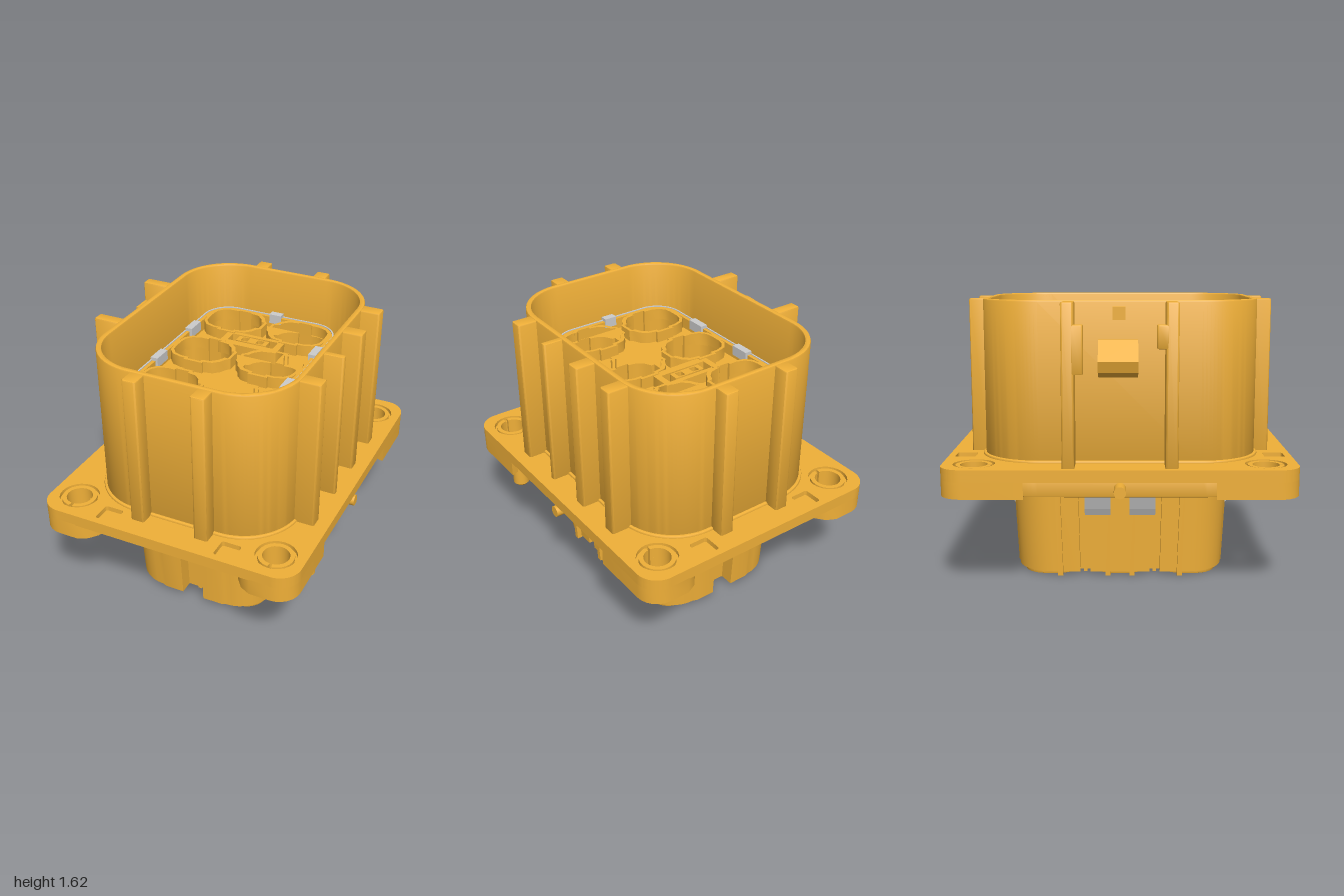
import * as THREE from 'three';
import { toCreasedNormals } from 'three/addons/utils/BufferGeometryUtils.js';

const orange = new THREE.MeshStandardMaterial({ color: 0xefaf38 });
const grey = new THREE.MeshStandardMaterial({ color: 0xcccccc, side: THREE.DoubleSide });

// Plan shapes are drawn in (x, z)
function roundRect(hx, hz, r, cx = 0, cz = 0, T = THREE.Shape) {
  const s = new T();
  const corners = [[1, 1, 0], [-1, 1, 1], [-1, -1, 2], [1, -1, 3]];
  s.moveTo(cx + hx, cz + hz - r);
  for (const [sx, sz, q] of corners)
    s.absarc(cx + sx * (hx - r), cz + sz * (hz - r), r, q * Math.PI / 2, (q + 1) * Math.PI / 2, false);
  s.closePath();
  return s;
}
const circle = (x, z, r) => new THREE.Path().absarc(x, z, r, 0, Math.PI * 2, false);
const polygon = (pts, T = THREE.Shape) => new T(pts.map(([x, z]) => new THREE.Vector2(x, z)));

// Extrudes a plan shape from height y0 to y1
function slab(shape, y0, y1, holes = [], bevel = 0) {
  shape.holes.push(...holes);
  const g = new THREE.ExtrudeGeometry(shape, {
    depth: y1 - y0 - 2 * bevel, curveSegments: 12, bevelEnabled: bevel > 0,
    bevelThickness: bevel, bevelSize: bevel, bevelOffset: -bevel, bevelSegments: 2,
  });
  g.rotateX(Math.PI / 2).translate(0, y1 - bevel, 0);
  return toCreasedNormals(g, 0.6);
}

// Outline of one keyed cavity, grown outward by w
function cavity(a, z, w, T) {
  const pts = [];
  for (const b of [1, -1]) {
    const half = [[0.035 - w, 0.045], [0.055 - w, 0.045 + w], [0.075 - w, 0.085 + w], [0.11 - w, 0.118 + w],
      [0.165 - w, 0.128 + w], [0.165 - w, 0.145 + w], [0.25 + w, 0.145 + w], [0.25 + w, 0.128 + w],
      [0.3, 0.128 + w], [0.35 + w / 2, 0.11 + w], [0.378 + w, 0.075 + w / 2], [0.385 + w, 0.035]];
    if (b < 0) half.reverse();
    pts.push(...half.map(([x, dz]) => [a * x, z + b * dz]));
  }
  return polygon(pts, T);
}

export function createModel() {
  const model = new THREE.Group();
  const add = (name, geo, mat = orange) => {
    const m = new THREE.Mesh(geo, mat);
    m.name = name;
    model.add(m);
    return m;
  };
  const box = (name, x0, x1, y0, y1, z0, z1, mat) =>
    add(name, new THREE.BoxGeometry(x1 - x0, y1 - y0, z1 - z0)
      .translate((x0 + x1) / 2, (y0 + y1) / 2, (z0 + z1) / 2), mat);
  const signs = [[1, 1], [-1, 1], [-1, -1], [1, -1]];

  // Flange: lower plate open in the middle, plus top layer with shallow square pockets
  const boltHoles = () => signs.map(([a, b]) => circle(a * 0.63, b * 0.82, 0.118));
  const pockets = signs.map(([a, b]) => roundRect(0.06, 0.06, 0.015, a * 0.375, b * 0.9, THREE.Path));
  add('flangePlate', slab(roundRect(0.8, 1, 0.13), 0.655, 0.695,
    [...boltHoles(), roundRect(0.58, 0.75, 0.365, 0, 0, THREE.Path)]));
  add('flangeTop', slab(roundRect(0.8, 1, 0.13), 0.695, 0.725, [...boltHoles(), ...pockets]));

  // Thick corner lugs with bolt bushings
  for (const [a, b] of signs) {
    const pts = [[0.8, 0.53], [0.8, 0.87]];
    for (let i = 1; i <= 6; i++) {
      const t = i / 6 * Math.PI / 2;
      pts.push([0.67 + 0.13 * Math.cos(t), 0.87 + 0.13 * Math.sin(t)]);
    }
    pts.push([0.55, 1], [0.49, 0.97], [0.45, 0.92], [0.42, 0.84], [0.6, 0.76], [0.68, 0.57]);
    const lug = polygon(pts.map(([x, z]) => [a * x, b * z]));
    add('cornerLug', slab(lug, 0.56, 0.66, [circle(a * 0.63, b * 0.82, 0.118)]));
    const ring = new THREE.Shape();
    ring.absarc(0, 0, 0.103, -1.5, Math.PI * 1.5 - 0.14, false);
    ring.absarc(0, 0, 0.077, Math.PI * 1.5 - 0.14, -1.5, true);
    const bushing = add('boltBushing', slab(ring, 0.57, 0.722));
    bushing.position.set(a * 0.63, 0, b * 0.82);
    bushing.rotation.y = Math.PI;
    const seat = new THREE.Shape().absarc(0, 0, 0.12, 0, Math.PI * 2, false);
    add('bushingSeat', slab(seat, 0.58, 0.7, [circle(0, 0, 0.1)])).position.set(a * 0.63, 0, b * 0.82);
  }

  // Tall outer shell with a small foot
  add('shell', slab(roundRect(0.606, 0.795, 0.34), 0.7, 1.635,
    [roundRect(0.572, 0.762, 0.306, 0, 0, THREE.Path)], 0.01));
  add('shellFoot', slab(roundRect(0.622, 0.812, 0.355), 0.715, 0.738,
    [roundRect(0.59, 0.78, 0.32, 0, 0, THREE.Path)], 0.01));

  // Vertical ribs around the shell
  const rib = (x, z, hx, hz) => add('shellRib', slab(roundRect(hx, hz, 0.012, x, z), 0.7, 1.63, [], 0.008));
  for (const [a, b] of signs) rib(a * 0.2, b * 0.83, 0.042, 0.055);
  for (const [z, hz] of [[-0.48, 0.042], [-0.17, 0.042], [0.145, 0.02], [0.46, 0.042]])
    rib(0.655, z, 0.066, hz);
  // Latch side: guide ribs with hooks, a stop block and a wedge between them
  for (const [b, y] of [[1, 1.38], [-1, 1.24]]) {
    rib(-0.68, b * 0.285, 0.085, 0.035);
    add('guideHook', slab(roundRect(0.033, 0.035, 0.01, -0.732, b * 0.235), y, 1.51, [], 0.008));
  }
  box('stopBlock', -0.655, -0.59, 1.53, 1.6, -0.04, 0.03);
  const wedge = new THREE.ExtrudeGeometry(
    polygon([[-0.58, 1.42], [-0.63, 1.42], [-0.75, 1.31], [-0.73, 1.25], [-0.58, 1.2]]),
    { depth: 0.22, bevelEnabled: false });
  add('latchWedge', wedge.translate(0, 0, -0.12));

  // Concentric seal rings under the flange with a groove between
  const sealRing = (name, hx, hz, w, y0) => add(name, slab(roundRect(hx, hz, 0.4), y0, 0.66,
    [roundRect(hx - w, hz - w, 0.4 - w, 0, 0, THREE.Path)], 0.008));
  sealRing('outerSealRing', 0.69, 0.86, 0.045, 0.545);
  sealRing('sealGroove', 0.66, 0.83, 0.08, 0.6);
  sealRing('innerSealRing', 0.615, 0.785, 0.035, 0.535);

  // Locating peg and the two side pins
  const peg = [[0, 0.447], [0.038, 0.447], [0.05, 0.46], [0.05, 0.6], [0, 0.6]]
    .map(([r, y]) => new THREE.Vector2(r, y));
  add('locatingPeg', toCreasedNormals(new THREE.LatheGeometry(peg, 24), 0.6)).position.set(0.72, 0, 0.58);
  for (const a of [1, -1])
    add('sidePin', new THREE.CylinderGeometry(0.034, 0.034, 0.16, 20)
      .rotateZ(Math.PI / 2).translate(a * 0.72, 0.597, 0));

  // Upper insert: rimmed deck with six keyed cavities whose thin walls stand above it
  const cells = [1, -1].flatMap((a) => [-0.44, 0, 0.43].map((z) => [a, z]));
  add('upperInsert', slab(roundRect(0.425, 0.6, 0.158), 0.72, 1.33,
    cells.map(([a, z]) => cavity(a, z, 0, THREE.Path))));
  add('insertRim', slab(roundRect(0.425, 0.6, 0.158), 1.32, 1.4,
    [roundRect(0.403, 0.578, 0.136, 0, 0, THREE.Path)]));
  for (const [a, z] of cells)
    add('cavityWall', slab(cavity(a, z, 0.018, THREE.Shape), 1.32, 1.4, [cavity(a, z, 0, THREE.Path)]));

  // Thin metal sleeve around the insert with clips on its rim
  add('shieldSleeve', slab(roundRect(0.434, 0.609, 0.167), 0.72, 1.405,
    [roundRect(0.425, 0.6, 0.158, 0, 0, THREE.Path)]), grey);
  for (const a of [1, -1]) {
    for (const b of [1, -1]) {
      const x = a * 0.41, z = b * 0.215 - 0.015;
      box('rimClip', x - 0.023, x + 0.023, 1.36, 1.42, z - 0.06, z + 0.06, grey);
      box('springTab', a * 0.45 - 0.018, a * 0.45 + 0.018, 0.85, 1.0, b * 0.16 - 0.03, b * 0.16 + 0.03, grey);
    }
    box('rimClip', -0.04, 0.04, 1.36, 1.42, a * 0.595 - 0.023, a * 0.595 + 0.023, grey);
    box('springTab', -0.028, 0.028, 0.85, 1.0, a * 0.63 - 0.018, a * 0.63 + 0.018, grey);
  }

  // Web between the back cavities with a small keyed socket
  const slots = [-0.05, 0.05].map((x) => roundRect(0.022, 0.022, 0.004, x, -0.23, THREE.Path));
  add('socketWeb', slab(roundRect(0.19, 0.08, 0.006, 0, -0.22), 1.32, 1.395,
    [roundRect(0.15, 0.042, 0.006, 0, -0.23, THREE.Path)]));
  add('socketBlock', slab(roundRect(0.1, 0.03, 0.006, 0, -0.23), 1.32, 1.395, slots));

  // Tapered lower insert, deeply notched between its six wells
  const quarter = [[0.435, 0.175], [0.385, 0.175], [0.385, 0.235], [0.435, 0.235], [0.435, 0.39]];
  for (let i = 1; i <= 8; i++) {
    const t = i / 8 * Math.PI / 2;
    quarter.push([0.215 + 0.22 * Math.cos(t), 0.39 + 0.22 * Math.sin(t)]);
  }
  quarter.push([0.19, 0.62], [0.07, 0.62], [0.07, 0.535]);
  const outline = [];
  signs.forEach(([a, b], i) => {
    const q = i % 2 ? [...quarter].reverse() : quarter;
    outline.push(...q.map(([x, z]) => [a * x, b * z]));
  });
  const wells = cells.map(([a, z]) => [a * 0.23, Math.sign(z) * 0.405]);
  const taper = (g) => {
    const p = g.attributes.position;
    for (let i = 0; i < p.count; i++) {
      const y = p.getY(i);
      p.setXYZ(i, p.getX(i) * (1 + 0.1 * y), y, p.getZ(i) * (1 + 0.08 * y));
    }
    return toCreasedNormals(g, 0.6);
  };
  add('lowerInsert', taper(slab(polygon(outline), 0.03, 0.7,
    wells.map(([x, z]) => roundRect(0.155, 0.137, 0.11, x, z, THREE.Path)))));
  for (const [x, z] of wells)
    add('wellRim', slab(roundRect(0.182, 0.165, 0.13, x, z), 0.01, 0.05,
      [roundRect(0.155, 0.137, 0.11, x, z, THREE.Path)], 0.006));
  box('bottomRib', -0.012, 0.012, 0.012, 0.05, -0.53, 0.53);
  for (const b of [1, -1]) box('bottomRib', -0.38, 0.38, 0.012, 0.05, b * 0.205 - 0.01, b * 0.205 + 0.01);

  // Slim ribs along the lower insert's long sides
  for (const [a, b] of signs) for (const z of [0.07, 0.35])
    add('insertRib', taper(new THREE.BoxGeometry(0.035, 0.68, 0.03).translate(a * 0.447, 0.355, b * z)));

  // Bent spring clips around the lower insert
  const clip = (angle, reach, along, width) => {
    const g = new THREE.ExtrudeGeometry(polygon([[0.45, 0.655], [0.53, 0.59], [0.54, 0.53], [0.505, 0.43], [0.485, 0.39],
      [0.475, 0.395], [0.495, 0.435], [0.528, 0.53], [0.52, 0.58], [0.44, 0.645]]), { depth: width, bevelEnabled: false });
    g.translate(reach, 0, along - width / 2).rotateY(angle);
    add('springClip', g, grey);
  };
  for (const s of [1, -1]) {
    clip(0, 0, s * 0.13, 0.15);
    clip(Math.PI, 0, s * 0.13, 0.15);
    clip(Math.PI / 2, 0.16, s * 0.113, 0.125);
    clip(-Math.PI / 2, 0.16, s * 0.113, 0.125);
  }
  return model;
}
